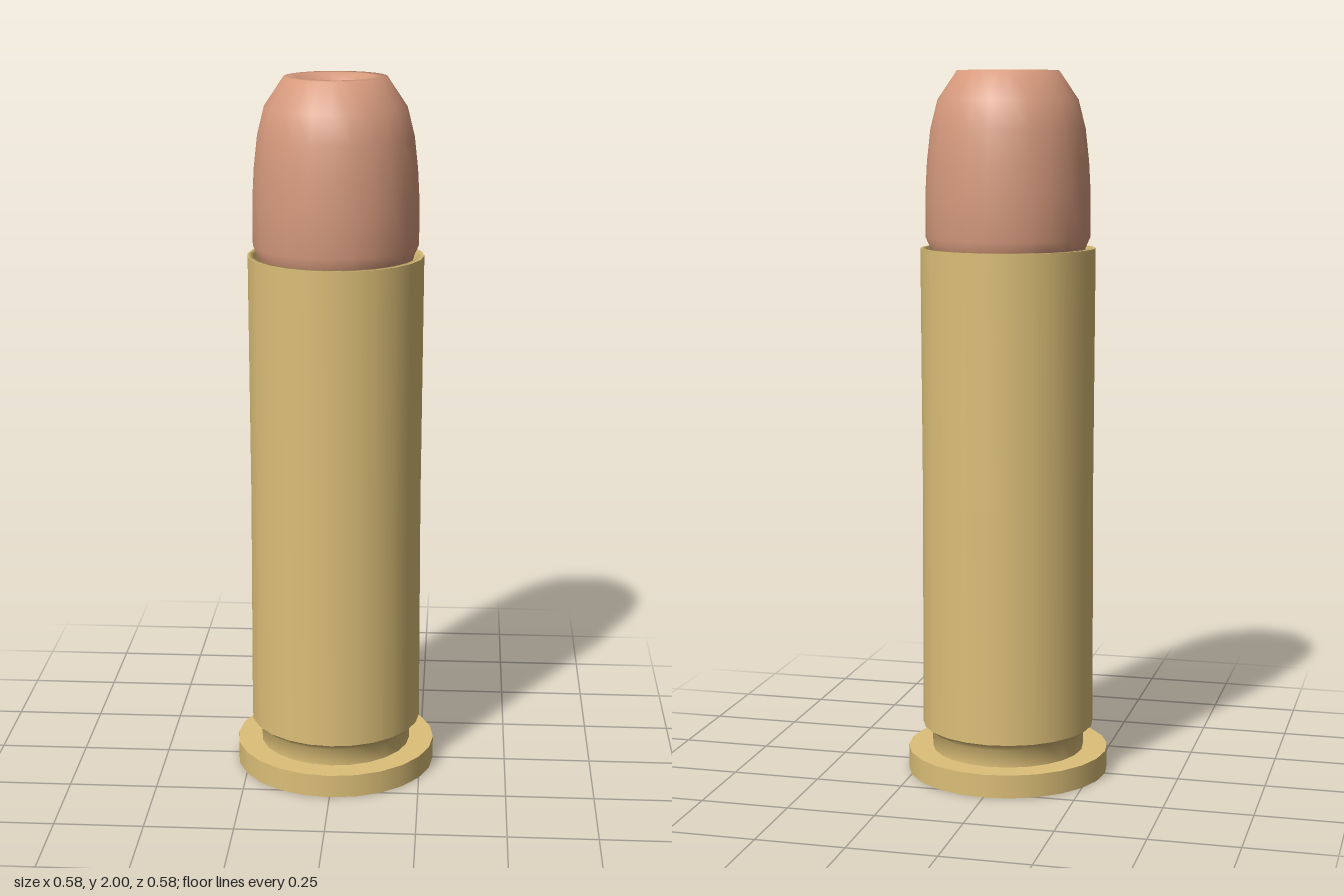
import * as THREE from 'three';

const SIDES = 24;

// Revolves a smooth profile of [radius, height] points, running bottom to top on the outside.
function revolve(name, material, profile) {
  const points = profile.map(([r, y]) => new THREE.Vector2(r, y));
  const mesh = new THREE.Mesh(new THREE.LatheGeometry(points, SIDES), material);
  mesh.name = name;
  return mesh;
}

function group(name, ...parts) {
  const g = new THREE.Group();
  g.name = name;
  g.add(...parts);
  return g;
}

export function createModel() {
  const brass = new THREE.MeshStandardMaterial({ color: 0xdcbf78 });
  brass.name = 'brass';
  const copper = new THREE.MeshStandardMaterial({ color: 0xd69a7d });
  copper.name = 'copper';

  // Flanged base with a flat underside
  const base = group('base',
    revolve('baseUnderside', brass, [[0, 0], [0.288, 0]]),
    revolve('baseEdge', brass, [[0.288, 0], [0.288, 0.066]]),
    revolve('baseTop', brass, [[0.288, 0.066], [0.218, 0.066]]),
  );

  // Casing: groove above the base, long wall and open mouth
  const casing = group('casing',
    revolve('groove', brass, [[0.218, 0.066], [0.218, 0.115], [0.246, 0.138]]),
    revolve('casingWall', brass, [[0.246, 0.138], [0.243, 0.8], [0.246, 1.51]]),
    revolve('casingMouth', brass, [[0.246, 1.51], [0.23, 1.51], [0.225, 1.46]]),
  );

  // Rounded tip with a tucked-in foot, a soft lip and a hollow centre
  const tip = group('tip',
    revolve('tipBody', copper, [
      [0.205, 1.46], [0.218, 1.51], [0.231, 1.54], [0.231, 1.66], [0.226, 1.75],
      [0.216, 1.84], [0.196, 1.92], [0.142, 2], [0.105, 2], [0.079, 1.975],
    ]),
    revolve('tipHollow', copper, [[0.079, 1.975], [0.077, 1.86], [0, 1.85]]),
  );

  return group('cartridge', base, casing, tip);
}
